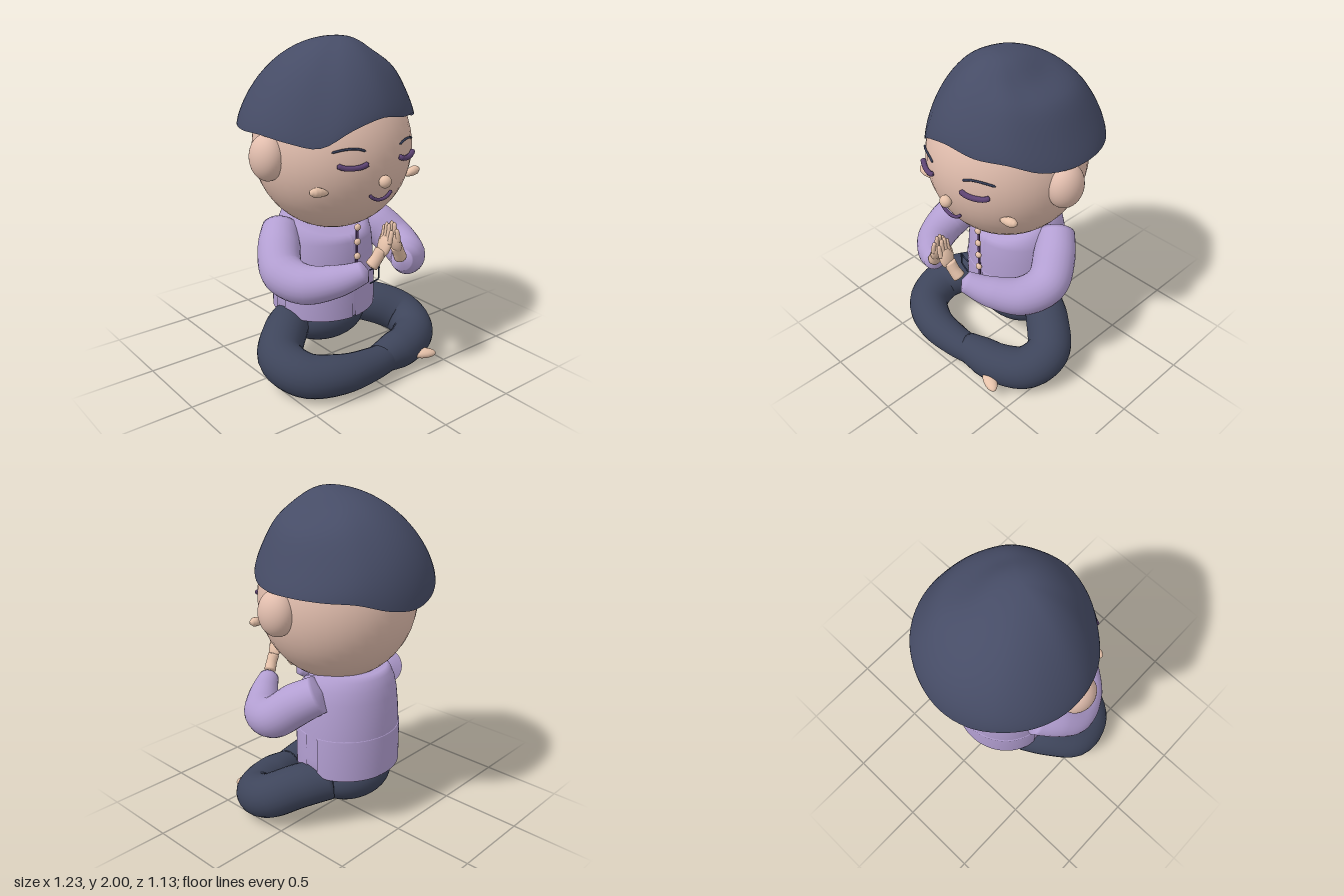
import * as THREE from 'three';
import { mergeVertices } from 'three/addons/utils/BufferGeometryUtils.js';

const paint = (name, color, side = THREE.FrontSide) => {
  const m = new THREE.MeshStandardMaterial({ color, side });
  m.name = name;
  return m;
};
const V = (p) => new THREE.Vector3(...p);

export function createModel() {
  const model = new THREE.Group();
  const skin = paint('skin', 0xe2beae);
  const handSkin = paint('warmSkin', 0xe6c2aa);
  const hairMat = paint('hair', 0x464c66, THREE.DoubleSide);
  const trousers = paint('trousers', 0x3e455b);
  const lilac = paint('lilacCloth', 0xb39fd2, THREE.DoubleSide);
  const plum = paint('plum', 0x5e4474);
  const ink = paint('darkLine', 0x343c56);

  const add = (name, geo, mat, parent = model) => {
    const mesh = new THREE.Mesh(geo, mat);
    mesh.name = name;
    parent.add(mesh);
    return mesh;
  };
  const ball = (name, pos, radii, mat, parent) => {
    const mesh = add(name, new THREE.SphereGeometry(1, 40, 28), mat, parent);
    mesh.position.set(...pos);
    mesh.scale.set(...radii);
    return mesh;
  };
  // Closed tube whose radius follows a list spread along its length
  const limb = (name, points, radii, mat, parent, seg = 40, sides = 24) => {
    const curve = new THREE.CatmullRomCurve3(points.map(V));
    const geo = new THREE.TubeGeometry(curve, seg, 1, sides, false);
    const pos = geo.attributes.position, nor = geo.attributes.normal;
    for (let i = 0; i < pos.count; i++) {
      const ring = Math.floor(i / (sides + 1));
      const u = ring / seg, f = u * (radii.length - 1);
      const k = Math.min(Math.floor(f), radii.length - 2);
      let r = THREE.MathUtils.lerp(radii[k], radii[k + 1], f - k);
      if (ring === 0 || ring === seg) r = 0.0005;
      const c = curve.getPointAt(u);
      pos.setXYZ(i, c.x + nor.getX(i) * r, c.y + nor.getY(i) * r, c.z + nor.getZ(i) * r);
    }
    geo.deleteAttribute('uv');
    geo.deleteAttribute('normal');
    const out = mergeVertices(geo, 1e-5);
    out.computeVertexNormals();
    return add(name, out, mat, parent);
  };
  const line = (name, points, r, mat) => limb(name, points, [r, r], mat, model, 20, 8);

  // Head
  ball('head', [0, 1.37, 0], [0.466, 0.485, 0.466], skin);
  ball('nose', [0, 1.252, 0.47], [0.037, 0.036, 0.032], handSkin);
  line('mouth', [[-0.083, 1.182, 0.434], [-0.045, 1.154, 0.437], [0, 1.144, 0.438],
    [0.045, 1.154, 0.437], [0.083, 1.182, 0.434]], 0.01, plum);

  for (const s of [-1, 1]) {
    ball('ear', [s * 0.465, 1.37, 0.02], [0.095, 0.132, 0.112], skin);
    // Leaf-shaped cheek, broad on the outside
    limb('cheek', [[s * 0.284, 1.207, 0.33], [s * 0.34, 1.22, 0.325], [s * 0.398, 1.228, 0.318]],
      [0.008, 0.02, 0.027, 0.027, 0.012], handSkin, model, 20, 16);
    line('closedEye', [[s * 0.11, 1.372, 0.46], [s * 0.15, 1.357, 0.452], [s * 0.2, 1.352, 0.434],
      [s * 0.245, 1.357, 0.412], [s * 0.275, 1.372, 0.394]], 0.0155, plum);
    line('eyebrow', [[s * 0.12, 1.437, 0.448], [s * 0.17, 1.453, 0.432], [s * 0.23, 1.453, 0.405],
      [s * 0.29, 1.437, 0.364]], 0.0065, ink);
  }

  // Hair cap: rows swept from the crown down to a wavy rim, with soft uneven locks
  const rimHeights = [1.6, 1.578, 1.568, 1.515, 1.5, 1.5, 1.495, 1.485, 1.435,
    1.41, 1.435, 1.485, 1.5, 1.5, 1.505, 1.48, 1.458, 1.55];
  const rim = new THREE.CatmullRomCurve3(rimHeights.map((y, i) => {
    const a = i * Math.PI / 9;
    return new THREE.Vector3(0.52 * Math.sin(a), y, -0.06 + 0.505 * Math.cos(a));
  }), true);
  const cols = 72, rows = 24, hairPos = [], hairIdx = [];
  for (let j = 0; j <= rows; j++) {
    const t = (j / rows) * Math.PI / 2, r = Math.sin(t);
    for (let i = 0; i < cols; i++) {
      const p = rim.getPoint(i / cols);
      const sx = p.x / 0.52, front = Math.max(0, (p.z + 0.06) / 0.505);
      const slim = 1 + (sx < 0 ? 0.6 : 0.7) * sx * sx + 0.5 * front * front;
      const h = Math.pow(Math.max(Math.cos(t), 0), slim);
      // Dip beside the crown and a swell lower down on the left
      const wave = sx > 0 ? sx * sx * (0.03 * Math.exp(-(((r - 0.74) / 0.13) ** 2))
        - 0.025 * Math.exp(-(((r - 0.42) / 0.14) ** 2))) : 0;
      hairPos.push(p.x * r, p.y + (2 - p.y) * h + wave, 0.06 + (p.z - 0.06) * r);
      if (j < rows) {
        const a = j * cols + i, b = j * cols + (i + 1) % cols;
        hairIdx.push(a, a + cols, b, b, a + cols, b + cols);
      }
    }
  }
  const hairGeo = new THREE.BufferGeometry();
  hairGeo.setAttribute('position', new THREE.Float32BufferAttribute(hairPos, 3));
  hairGeo.setIndex(hairIdx);
  const hairSmooth = mergeVertices(hairGeo, 1e-5);
  hairSmooth.computeVertexNormals();
  add('hair', hairSmooth, hairMat);

  // Jacket
  const jacket = new THREE.Group();
  jacket.name = 'jacket';
  jacket.position.z = -0.085;
  jacket.scale.z = 0.95;
  model.add(jacket);
  const lathe = (name, profile, start = 0, length = Math.PI * 2) =>
    add(name, new THREE.LatheGeometry(profile.map((p) => new THREE.Vector2(...p)), 64, start, length),
      lilac, jacket);
  const body = lathe('jacketBody', [[0, 0.36], [0.29, 0.345], [0.313, 0.35], [0.316, 0.45], [0.315, 0.62],
    [0.31, 0.72], [0.3, 0.82], [0.285, 0.89], [0.262, 0.945], [0.235, 0.972], [0, 0.975]]);
  // Neckline slopes down under the chin
  const bodyPos = body.geometry.attributes.position;
  for (let i = 0; i < bodyPos.count; i++) {
    const y = bodyPos.getY(i), z = bodyPos.getZ(i);
    if (y > 0.85 && z > 0) bodyPos.setY(i, y - 0.9 * (y - 0.85) * (z / 0.26));
  }
  body.geometry.computeVertexNormals();
  const hem = [[0.312, 0.34], [0.322, 0.352], [0.322, 0.6], [0.314, 0.602]];
  lathe('backHem', hem, 1.72, Math.PI * 2 - 3.44);
  lathe('frontHemLeft', hem, 0.03, 1.42);
  lathe('frontHemRight', hem, Math.PI * 2 - 1.45, 1.42);
  const placket = add('placket', new THREE.BoxGeometry(0.014, 0.4, 0.009), plum);
  placket.position.set(0, 0.735, 0.236);
  for (let i = 0; i < 5; i++)
    ball('button', [0, 0.565 + i * 0.09, 0.242], [0.021, 0.021, 0.016], handSkin);

  for (const s of [-1, 1]) {
    // Pocket outlines
    line('pocketTop', [[s * 0.1, 0.628, 0.235], [s * 0.16, 0.622, 0.222], [s * 0.21, 0.615, 0.2]], 0.005, ink);
    line('pocketSide', [[s * 0.21, 0.615, 0.2], [s * 0.208, 0.53, 0.2]], 0.005, ink);
    line('pocketBottom', [[s * 0.208, 0.53, 0.2], [s * 0.11, 0.536, 0.232]], 0.005, ink);

    // Sleeve
    limb('sleeve', [[s * 0.275, 0.885, -0.14], [s * 0.37, 0.81, -0.025], [s * 0.432, 0.71, 0.1],
      [s * 0.388, 0.675, 0.25], [s * 0.26, 0.708, 0.385], [s * 0.12, 0.768, 0.482]],
    [0.11, 0.125, 0.124, 0.112, 0.09, 0.058], lilac);

    // Praying hand
    const hand = new THREE.Group();
    hand.name = 'hand';
    model.add(hand);
    limb('wrist', [[s * 0.115, 0.785, 0.488], [s * 0.085, 0.83, 0.502], [s * 0.05, 0.89, 0.512]],
      [0.038, 0.034, 0.036], handSkin, hand, 12, 16);
    const palm = ball('palm', [s * 0.037, 0.91, 0.518], [0.027, 0.07, 0.045], handSkin, hand);
    palm.rotation.z = s * 0.35;
    [1.02, 1.04, 1.035, 1.0].forEach((top, i) => {
      const z = 0.49 + i * 0.02;
      limb('finger', [[s * 0.034, 0.915, z], [s * 0.024, 0.97, z + 0.003], [s * 0.018, top, z]],
        [0.015, 0.014, 0.01], handSkin, hand, 10, 10);
    });
    limb('thumb', [[s * 0.05, 0.88, 0.49], [s * 0.03, 0.93, 0.478], [s * 0.018, 0.965, 0.48]],
      [0.015, 0.013, 0.009], handSkin, hand, 10, 10);
  }

  // Crossed legs
  ball('hips', [0, 0.265, -0.1], [0.28, 0.16, 0.235], trousers);
  limb('rightLeg', [[-0.18, 0.285, -0.135], [-0.34, 0.26, -0.02], [-0.477, 0.19, 0.13], [-0.435, 0.145, 0.31],
    [-0.25, 0.132, 0.412], [-0.03, 0.122, 0.42], [0.14, 0.115, 0.395], [0.26, 0.1, 0.37]],
  [0.12, 0.133, 0.135, 0.13, 0.12, 0.104, 0.09, 0.06], trousers);
  limb('leftLeg', [[0.18, 0.285, -0.135], [0.34, 0.26, -0.02], [0.477, 0.19, 0.12], [0.445, 0.14, 0.27],
    [0.3, 0.125, 0.36], [0.15, 0.125, 0.39], [0.02, 0.122, 0.405]],
  [0.12, 0.133, 0.135, 0.132, 0.125, 0.116, 0.085], trousers);
  const rightFoot = ball('rightFoot', [0.335, 0.095, 0.475], [0.085, 0.03, 0.04], handSkin);
  rightFoot.rotation.set(0, -0.45, -0.08);
  ball('leftFoot', [-0.12, 0.11, 0.335], [0.075, 0.035, 0.04], handSkin);

  return model;
}
